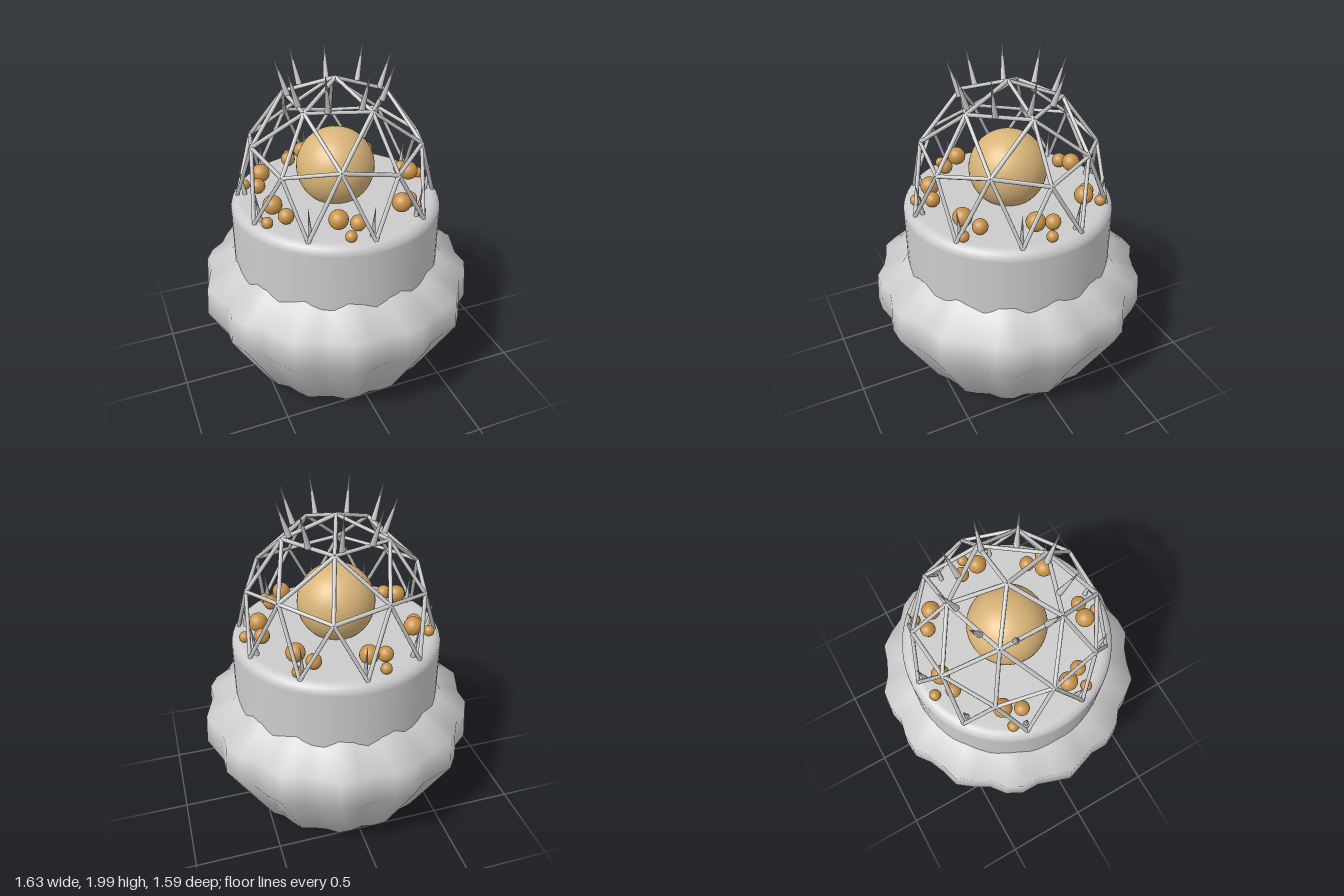
import * as THREE from 'three';
import { mergeVertices } from 'three/addons/utils/BufferGeometryUtils.js';

const grey = new THREE.MeshStandardMaterial({ color: 0xcccccc });
const tan = new THREE.MeshStandardMaterial({ color: 0xd9b478 });
const amber = new THREE.MeshStandardMaterial({ color: 0xc8934a });

const polar = (r, y, deg) => {
  const a = THREE.MathUtils.degToRad(deg);
  return new THREE.Vector3(r * Math.cos(a), y, r * Math.sin(a));
};

// Tapered rod from a to b
function rod(a, b, ra, rb, sides, name) {
  const geo = new THREE.CylinderGeometry(rb, ra, a.distanceTo(b), sides);
  const mesh = new THREE.Mesh(geo, grey);
  mesh.position.copy(a).lerp(b, 0.5);
  mesh.quaternion.setFromUnitVectors(new THREE.Vector3(0, 1, 0), b.clone().sub(a).normalize());
  mesh.name = name;
  return mesh;
}

function ball(r, pos, material, name, seg) {
  const mesh = new THREE.Mesh(new THREE.SphereGeometry(r, seg, seg * 0.7), material);
  mesh.position.copy(pos);
  mesh.name = name;
  return mesh;
}

const lathe = (pts, seg) => new THREE.LatheGeometry(pts.map(p => new THREE.Vector2(...p)), seg);

// Bulging bowl whose radius ripples in 14 lobes
function flutedBowl() {
  let geo = lathe([[0, 0.005], [0.558, 0.065], [0.795, 0.5], [0.782, 0.68], [0.63, 0.757], [0.598, 0.81], [0.5, 0.85]], 48);
  const p = geo.attributes.position;
  for (let i = 0; i < p.count; i++) {
    const k = 1 + 0.028 * Math.cos(14 * Math.atan2(p.getZ(i), p.getX(i)));
    p.setXYZ(i, p.getX(i) * k, p.getY(i), p.getZ(i) * k);
  }
  geo.deleteAttribute('uv');
  geo.deleteAttribute('normal');
  geo = mergeVertices(geo);
  geo.computeVertexNormals();
  const mesh = new THREE.Mesh(geo, grey);
  mesh.name = 'flutedBowl';
  return mesh;
}

// Drum with a rounded upper rim and flat deck
function drum() {
  const pts = [[0.61, 0.72], [0.61, 1.11]];
  for (let i = 1; i <= 6; i++) {
    const a = i * Math.PI / 12;
    pts.push([0.55 + 0.06 * Math.cos(a), 1.11 + 0.06 * Math.sin(a)]);
  }
  pts.push([0.5, 1.17], [0, 1.17]);
  const mesh = new THREE.Mesh(lathe(pts, 64), grey);
  mesh.name = 'drum';
  return mesh;
}

// Upper half of a twice-divided icosahedron, stretched upward, as struts
function geodesicCage() {
  const cage = new THREE.Group();
  cage.name = 'geodesicCage';
  const pts = [new THREE.Vector3(0, 1, 0)];
  const ring = (tilt, count, start) => {
    const t = THREE.MathUtils.degToRad(tilt);
    for (let i = 0; i < count; i++) pts.push(polar(Math.sin(t), Math.cos(t), start + i * 360 / count));
  };
  ring(31.72, 5, 0);
  ring(63.43, 5, 0);
  ring(58.28, 5, 36);
  ring(90, 10, 18);
  const place = v => new THREE.Vector3(v.x * 0.57, 1.165 + v.y * 0.695, v.z * 0.57);
  pts.forEach((a, i) => pts.slice(i + 1).forEach(b => {
    const bothOnDeck = a.y < 0.01 && b.y < 0.01;
    if (a.distanceTo(b) < 0.7 && !bothOnDeck) cage.add(rod(place(a), place(b), 0.0115, 0.0115, 6, 'strut'));
  }));
  return cage;
}

// Ring of outward-leaning spikes
function spikes(name, count, start, rBase, yBase, rTip, yTip, thick) {
  const group = new THREE.Group();
  group.name = name;
  for (let i = 0; i < count; i++) {
    const a = start + i * 360 / count;
    group.add(rod(polar(rBase, yBase, a), polar(rTip, yTip, a), thick, 0, 8, 'spike'));
  }
  return group;
}

// Seven clusters of three balls around the deck
function ballClusters() {
  const group = new THREE.Group();
  group.name = 'ballClusters';
  for (let i = 0; i < 7; i++) {
    const a = i * 360 / 7;
    group.add(
      ball(0.054, polar(0.45, 1.245, a + 6.7), amber, 'largeBall', 20),
      ball(0.044, polar(0.45, 1.215, a - 6.7), amber, 'mediumBall', 20),
      ball(0.032, polar(0.537, 1.192, a), amber, 'smallBall', 20));
  }
  return group;
}

export function createModel() {
  const model = new THREE.Group();
  model.name = 'domedVessel';
  model.add(
    flutedBowl(),
    drum(),
    geodesicCage(),
    ball(0.225, new THREE.Vector3(0, 1.338, 0), tan, 'centralSphere', 40),
    ballClusters(),
    spikes('crownSpikes', 9, 0, 0.26, 1.765, 0.335, 1.995, 0.018),
    spikes('deckSpikes', 10, 18, 0.525, 1.16, 0.555, 1.365, 0.015));
  return model;
}
